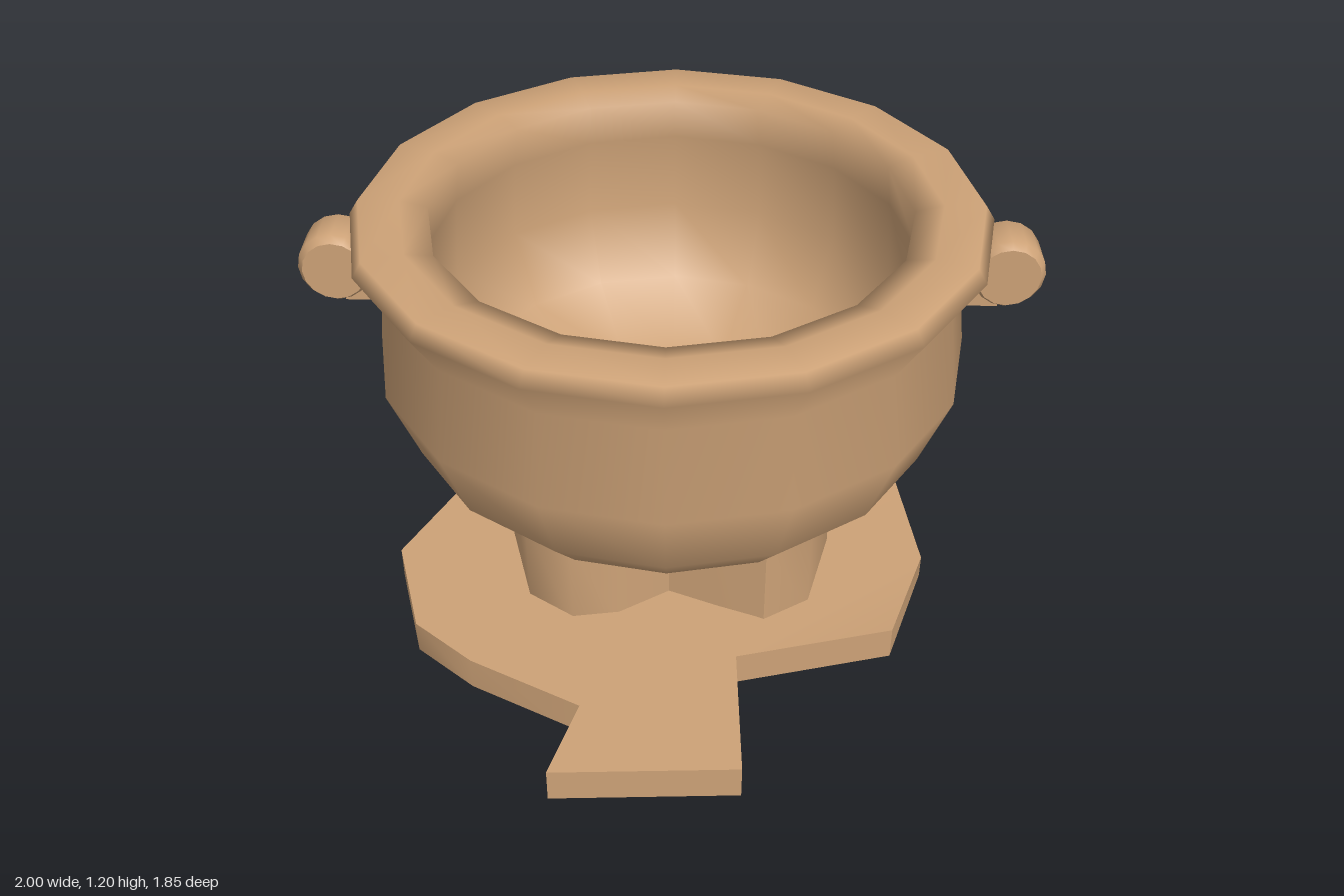
import * as THREE from 'three';
import { toCreasedNormals } from 'three/addons/utils/BufferGeometryUtils.js';

const clay = new THREE.MeshStandardMaterial({ color: 0xcda277 });
clay.name = 'clay';

const BOWL_Z = -0.07; // bowl and handles sit slightly behind the middle

const vectors = (pairs) => pairs.map(([a, b]) => new THREE.Vector2(a, b));

function part(name, geometry, x = 0, y = 0, z = 0) {
  const mesh = new THREE.Mesh(geometry, clay);
  mesh.name = name;
  mesh.position.set(x, y, z);
  return mesh;
}

// Upright slab from an outline of [x, z] points
function slab(outline, height) {
  const shape = new THREE.Shape(vectors(outline.map(([x, z]) => [x, -z])));
  return new THREE.ExtrudeGeometry(shape, { depth: height, bevelEnabled: false }).rotateX(-Math.PI / 2);
}

// Bowl: outer wall, flared lip, then the undercut inner wall and floor
function bowl() {
  const profile = [
    [0, 0.3], [0.27, 0.31], [0.48, 0.355], [0.63, 0.46], [0.73, 0.57], [0.81, 0.78],
    [0.78, 1.04], [0.855, 1.16], [0.83, 1.2],
    [0.72, 1.2], [0.645, 1.18], [0.66, 1.06], [0.68, 0.82], [0.6, 0.6], [0.4, 0.45], [0, 0.4],
  ];
  return part('bowl', new THREE.LatheGeometry(vectors(profile), 16), 0, 0, BOWL_Z);
}

// Foot: peanut-shaped column pinched at the front and back
function foot() {
  const outline = [
    [0, 0.24], [0.14, 0.3], [0.27, 0.35], [0.4, 0.26], [0.47, 0],
    [0.4, -0.26], [0.27, -0.34], [0.14, -0.3], [0, -0.23],
    [-0.14, -0.3], [-0.27, -0.34], [-0.4, -0.26], [-0.47, 0],
    [-0.4, 0.26], [-0.27, 0.35], [-0.14, 0.33],
  ];
  return part('foot', toCreasedNormals(slab(outline, 0.31), 0.9), 0, 0.06);
}

// Base: uneven plate with a flared tongue at the front
function base() {
  const outline = [
    [-0.8, 0.08], [-0.71, 0.39], [-0.54, 0.53], [-0.23, 0.69], [-0.3, 0.92], [0.2, 0.9],
    [0.19, 0.5], [0.63, 0.39], [0.75, 0.05], [0.69, -0.36], [0.59, -0.56], [0.2, -0.6],
    [-0.2, -0.71], [-0.57, -0.59], [-0.63, -0.27],
  ];
  const geometry = slab(outline, 0.1);
  // the top sags at the left edge
  const position = geometry.attributes.position;
  for (let i = 0; i < position.count; i++) {
    if (position.getX(i) > 0.74 && position.getY(i) > 0.05) position.setY(i, 0.07);
  }
  return part('base', toCreasedNormals(geometry, 0.6));
}

// Handle: rounded knob lying front to back, joined to the bowl by a block
function handle(side) {
  const group = new THREE.Group();
  group.name = side > 0 ? 'leftHandle' : 'rightHandle';
  const profile = [
    [0, -0.077], [0.085, -0.077], [0.1, -0.055], [0.1, 0.055], [0.085, 0.077], [0, 0.077],
  ];
  const knob = new THREE.LatheGeometry(vectors(profile), 16).rotateX(Math.PI / 2);
  group.add(part('knob', toCreasedNormals(knob, 0.9), side * 0.9, 1.025, BOWL_Z));
  group.add(part('handleBlock', new THREE.BoxGeometry(0.12, 0.13, 0.13), side * 0.82, 0.995, BOWL_Z));
  return group;
}

export function createModel() {
  const model = new THREE.Group();
  model.name = 'footedBowl';
  model.add(base(), foot(), bowl(), handle(1), handle(-1));
  return model;
}
